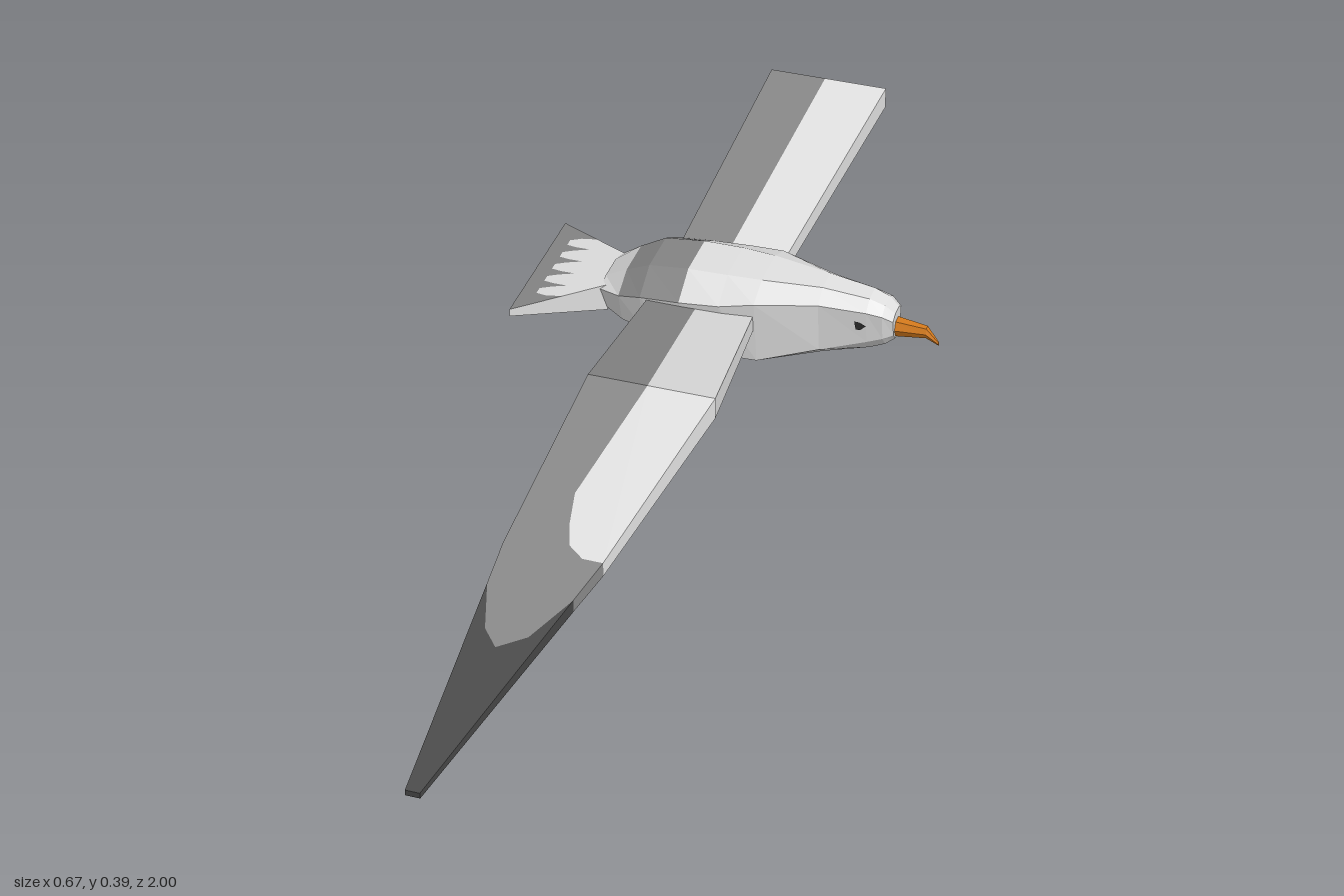
import * as THREE from 'three';

const paint = (name, color) => {
  const m = new THREE.MeshStandardMaterial({ color });
  m.name = name;
  return m;
};

// Flat-faced mesh from triangles, each turned to face along out(centroid)
function facets(name, tris, mat, out) {
  const pos = [];
  for (const t of tris) {
    const [a, b, c] = t.map(p => new THREE.Vector3(...p));
    const n = b.clone().sub(a).cross(c.clone().sub(a));
    const mid = a.clone().add(b).add(c).divideScalar(3);
    const order = n.dot(out(mid)) < 0 ? [a, c, b] : [a, b, c];
    order.forEach(v => pos.push(v.x, v.y, v.z));
  }
  const g = new THREE.BufferGeometry();
  g.setAttribute('position', new THREE.Float32BufferAttribute(pos, 3));
  g.computeVertexNormals();
  const mesh = new THREE.Mesh(g, mat);
  mesh.name = name;
  return mesh;
}

// Outline in two coordinates, laid onto a surface by place(u, v)
function panel(name, outline, place, mat, dir) {
  const pts = outline.map(p => new THREE.Vector2(...p));
  const tris = THREE.ShapeUtils.triangulateShape(pts, [])
    .map(f => f.map(i => place(pts[i].x, pts[i].y)));
  const d = new THREE.Vector3(...dir);
  return facets(name, tris, mat, () => d);
}

const quad = (a, b, c, d) => [[a, b, c], [a, c, d]];

// Skin between rings of points, with end caps; pick(span, side) gives the material
function loft(name, rings, pick) {
  const group = new THREE.Group();
  group.name = name;
  const n = rings[0].length;
  const all = rings.map(r => r.reduce((s, p) => s.add(new THREE.Vector3(...p)), new THREE.Vector3()).divideScalar(n));
  const byMat = new Map();
  for (let i = 0; i < rings.length - 1; i++) {
    const centre = all[i].clone().lerp(all[i + 1], 0.5);
    for (let k = 0; k < n; k++) {
      const m = pick(i, k), l = (k + 1) % n;
      if (!m) continue;
      if (!byMat.has(m)) byMat.set(m, []);
      byMat.get(m).push({ centre, tris: quad(rings[i][k], rings[i][l], rings[i + 1][l], rings[i + 1][k]) });
    }
  }
  for (const [m, parts] of byMat)
    for (const p of parts)
      group.add(facets(name + ' ' + m.name, p.tris, m, v => v.clone().sub(p.centre)));
  for (const e of [0, rings.length - 1]) {
    const inner = all[e === 0 ? 1 : e - 1], r = rings[e], tris = [];
    for (let k = 1; k < n - 1; k++) tris.push([r[0], r[k], r[k + 1]]);
    group.add(facets(name + ' end', tris, pick(e === 0 ? 0 : e - 1, 0) || pick(e === 0 ? 0 : e - 1, 1), v => v.clone().sub(inner)));
  }
  return group;
}

export function createModel() {
  const white = paint('white plumage', 0xe0e0e0);
  const grey = paint('grey plumage', 0x868686);
  const dark = paint('dark wing tip', 0x444444);
  const orange = paint('orange beak', 0xd47a1c);
  const black = paint('black eye', 0x2c2c2c);
  const bird = new THREE.Group();
  bird.name = 'bird';

  // Body and head: x, top, shoulder, flank, belly, half width
  const body = [
    [-0.21, 0.258, 0.25, 0.215, 0.206, 0.052],
    [-0.17, 0.285, 0.262, 0.207, 0.199, 0.078],
    [-0.13, 0.305, 0.275, 0.203, 0.19, 0.09],
    [-0.065, 0.312, 0.28, 0.19, 0.17, 0.092],
    [0, 0.313, 0.285, 0.18, 0.158, 0.09],
    [0.055, 0.312, 0.293, 0.176, 0.153, 0.08],
    [0.15, 0.308, 0.29, 0.2, 0.18, 0.047],
    [0.225, 0.299, 0.284, 0.225, 0.202, 0.036],
    [0.25, 0.29, 0.279, 0.234, 0.213, 0.032],
    [0.266, 0.276, 0.268, 0.24, 0.226, 0.024],
  ];
  const bodyRings = body.map(([x, t, s, l, b, w]) => {
    const half = [[x, t, 0.45 * w], [x, s, w], [x, l, 0.8 * w], [x, b, 0.25 * w]];
    return [...half, ...half.map(([px, y, z]) => [px, y, -z]).reverse()];
  });
  // Grey saddle joins the rear of both wings across the back
  const upper = [0, 6, 7];
  bird.add(loft('body', bodyRings, (i, k) => (i === 1 || i === 2) && upper.includes(k) ? grey : white));

  // Beak with hooked tip
  const beak = [[0.262, 0.259, 0.23, 0.014], [0.315, 0.253, 0.235, 0.008], [0.335, 0.228, 0.223, 0.002]];
  bird.add(loft('beak', beak.map(([x, t, b, w]) =>
    [[x, t, 0.6 * w], [x, (t + b) / 2, w], [x, b, 0.5 * w], [x, b, -0.5 * w], [x, (t + b) / 2, -w], [x, t, -0.6 * w]]),
  () => orange));

  // Eyes on the sides of the head
  const eye = [[0.207, 0.267], [0.215, 0.266], [0.225, 0.259], [0.216, 0.25], [0.209, 0.251]];
  for (const s of [1, -1])
    bird.add(panel(s > 0 ? 'leftEye' : 'rightEye', eye, (x, y) => {
      const f = (x - 0.15) / 0.075, w = 0.047 - 0.011 * f;
      const top = 0.29 - 0.006 * f, low = 0.2 + 0.025 * f;
      return [x, y, s * (w * (1 - 0.2 * (top - y) / (top - low)) + 0.002)];
    }, black, [0, 0, s]));

  // Tail wedge, open on top for the coloured panels
  const tailRings = [[-0.2, 0.256, 0.208, 0.046], [-0.335, 0.235, 0.222, 0.13]].map(([x, t, b, w]) =>
    [[x, t, w], [x, b, w], [x, b, -w], [x, t, -w]]);
  bird.add(loft('tail', tailRings, (i, k) => k === 3 ? null : white));
  const tailTop = (x, z) => [x, 0.256 + (x + 0.2) * 0.021 / 0.135, z];
  const tailHalf = x => 0.046 + (-0.2 - x) * 0.084 / 0.135;
  // Scalloped edge between white and grey on the tail
  const scallop = [[-0.262, -tailHalf(-0.262)]];
  for (let i = -2; i <= 2; i++) {
    const c = i * 0.036;
    scallop.push([-0.29, c - 0.013], [-0.308, c - 0.007], [-0.308, c + 0.007], [-0.29, c + 0.013]);
    if (i < 2) scallop.push([-0.265, c + 0.018]);
  }
  scallop.push([-0.262, tailHalf(-0.262)]);
  bird.add(panel('tail white top', [[-0.2, -0.046], ...scallop, [-0.2, 0.046]], tailTop, white, [0, 1, 0]));
  bird.add(panel('tail grey edge', [[-0.335, -0.13], ...scallop, [-0.335, 0.13]], tailTop, grey, [0, 1, 0]));

  // Wings: z, top height, leading x, trailing x, front thickness
  const wing = [
    [0.06, 0.263, 0.05, -0.122, 0.028],
    [0.455, 0.388, 0.115, -0.083, 0.036],
    [0.683, 0.23, 0.018, -0.137, 0.024],
    [0.735, 0.194, -0.01, -0.143, 0.021],
    [1, 0.01, -0.152, -0.175, 0.01],
  ];
  const front = [white, white, grey, dark], rear = [grey, grey, grey, dark];
  const height = z => z < 0.455
    ? 0.263 + (z - 0.06) * 0.125 / 0.395
    : 0.388 - (z - 0.455) * 0.378 / 0.545;
  // Edges of the colour fields on the outer wing
  const patch = [[0.01, 0.455], [-0.052, 0.605], [-0.047, 0.645], [-0.038, 0.67], [-0.014, 0.683], [0.018, 0.683]];
  const tipEdge = [[-0.143, 0.735], [-0.127, 0.79], [-0.104, 0.81], [-0.06, 0.79], [-0.01, 0.735]];
  const fields = [
    ['inner wing front', [[0.05, 0.06], [-0.042, 0.06], [0.01, 0.455], [0.115, 0.455]], white],
    ['inner wing rear', [[-0.042, 0.06], [-0.122, 0.06], [-0.083, 0.455], [0.01, 0.455]], grey],
    ['outer wing front', [[0.115, 0.455], ...patch], white],
    ['outer wing rear', [[-0.083, 0.455], [-0.137, 0.683], ...tipEdge, ...[...patch].reverse()], grey],
    ['wing tip', [...tipEdge, [-0.152, 1], [-0.175, 1]], dark],
  ];
  for (const s of [1, -1]) {
    const g = new THREE.Group();
    g.name = s > 0 ? 'leftWing' : 'rightWing';
    const rings = wing.map(([z, y, a, b, t]) =>
      [[a, y, s * z], [a, y - t, s * z], [b, y - Math.min(0.006, t), s * z], [b, y, s * z]]);
    rings[4][2][1] = 0;
    // Leading edge, underside and trailing edge
    g.add(loft('wing shell', rings, (i, k) => [front[i], white, rear[i], null][k]));
    // Coloured upper surface
    for (const [name, outline, mat] of fields)
      g.add(panel(name, outline, (x, z) => [x, height(z), s * z], mat, [0, 1, 0]));
    bird.add(g);
  }
  return bird;
}
